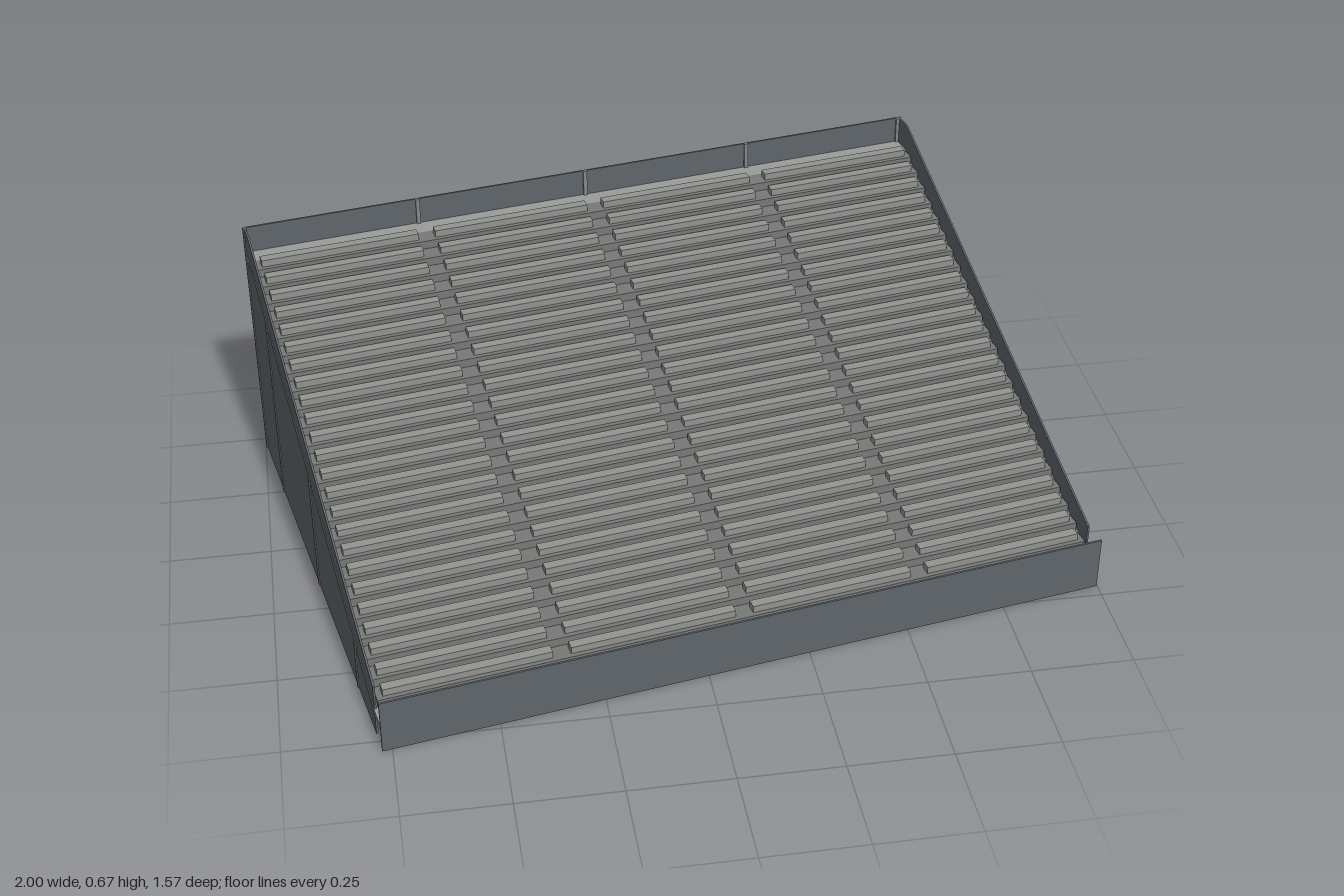
import * as THREE from 'three';

const W = 0.9, D = 0.635;           // half width and half depth
const FRONT = 0.574, BACK = -0.58;  // ends of the sloping part
const LOW = 0.075, HIGH = 0.6;      // deck heights
const ROWS = 24, PITCH = (FRONT - BACK) / ROWS, RISE = (HIGH - LOW) / ROWS;

const mat = (name, color) => {
  const m = new THREE.MeshStandardMaterial({ color });
  m.name = name;
  return m;
};

export function createModel() {
  const panel = mat('blue grey panel', 0x60666b);
  const concrete = mat('light concrete', 0x9a9c9a);
  const tread = mat('step grey', 0x777977);
  const bench = mat('bench grey', 0x929490);
  const steel = mat('steel', 0x868887);

  const model = new THREE.Group();
  model.name = 'grandstand';
  const stand = new THREE.Group();
  stand.name = 'stand';
  stand.rotation.y = 0.1785;
  model.add(stand);

  const box = (name, material, w, h, d, x, y, z) => {
    const mesh = new THREE.Mesh(new THREE.BoxGeometry(w, h, d), material);
    mesh.name = name;
    mesh.position.set(x, y, z);
    stand.add(mesh);
  };

  // Extrude a side outline given as [z, y] points across x
  const across = (name, material, points, width, x) => {
    const shape = new THREE.Shape(points.map(([z, y]) => new THREE.Vector2(-z, y)));
    const geo = new THREE.ExtrudeGeometry(shape, { depth: width, bevelEnabled: false });
    geo.translate(0, 0, -width / 2);
    geo.rotateY(Math.PI / 2);
    const mesh = new THREE.Mesh(geo, material);
    mesh.name = name;
    mesh.position.x = x;
    stand.add(mesh);
  };

  // Sloping deck slab, its edge showing through the side walls
  const T = 0.016;
  across('deckSlab', concrete, [
    [D - 0.003, LOW - T], [FRONT, LOW - T], [BACK, HIGH - T], [-D + 0.003, HIGH - T],
    [-D + 0.003, HIGH], [BACK, HIGH], [FRONT, LOW], [D - 0.003, LOW],
  ], 2 * W, 0);

  // Stepped terraces
  const steps = [];
  for (let i = 0; i < ROWS; i++) {
    const z = FRONT - i * PITCH;
    steps.push([z, LOW + i * RISE], [z, LOW + (i + 1) * RISE]);
  }
  steps.push([BACK, HIGH], [BACK, HIGH - 0.01], [FRONT, LOW - 0.01]);
  across('terraces', tread, steps, 2 * W - 0.02, 0);

  // Benches in four blocks, separated by three aisles
  for (let i = 0; i < ROWS; i++) {
    for (let b = 0; b < 4; b++) {
      const x0 = b === 0 ? -W + 0.025 : -W + b * 0.45 + 0.022;
      const x1 = b === 3 ? W - 0.025 : -W + (b + 1) * 0.45 - 0.022;
      box('bench', bench, x1 - x0, 0.018, 0.025, (x0 + x1) / 2,
        LOW + (i + 1) * RISE + 0.009, FRONT - (i + 0.5) * PITCH);
    }
  }

  // Side walls with raised parapets
  for (const [name, s] of [['leftWall', 1], ['rightWall', -1]]) {
    across(name, panel, [
      [FRONT, 0], [FRONT, 0.14], [BACK, 0.67], [-D, 0.67], [-D, 0],
    ], 0.005, s * (W - 0.004));
  }

  // Front wall and back parapet
  box('frontWall', panel, 2 * W, 0.14, 0.005, 0, 0.07, D - 0.0025);
  box('backParapet', panel, 2 * W, 0.085, 0.005, 0, 0.6275, -D + 0.0025);

  // Support posts in five columns, and horizontal rails across the back
  for (let c = 0; c < 5; c++) {
    const x = c === 4 ? W - 0.01 : c === 0 ? -W + 0.004 : -W + c * 0.45;
    box('backPost', steel, 0.01, 0.67, 0.01, x, 0.335, -D + 0.005);
    for (const z of [-0.42, -0.008, 0.4]) {
      const h = LOW - T + (FRONT - z) / (FRONT - BACK) * (HIGH - LOW);
      box('post', steel, 0.01, h, 0.01, x, h / 2, z);
    }
  }
  for (const y of [0.15, 0.29, 0.43, 0.57]) {
    box('backRail', steel, 2 * W - 0.02, 0.012, 0.01, 0, y, -D + 0.005);
  }
  return model;
}
